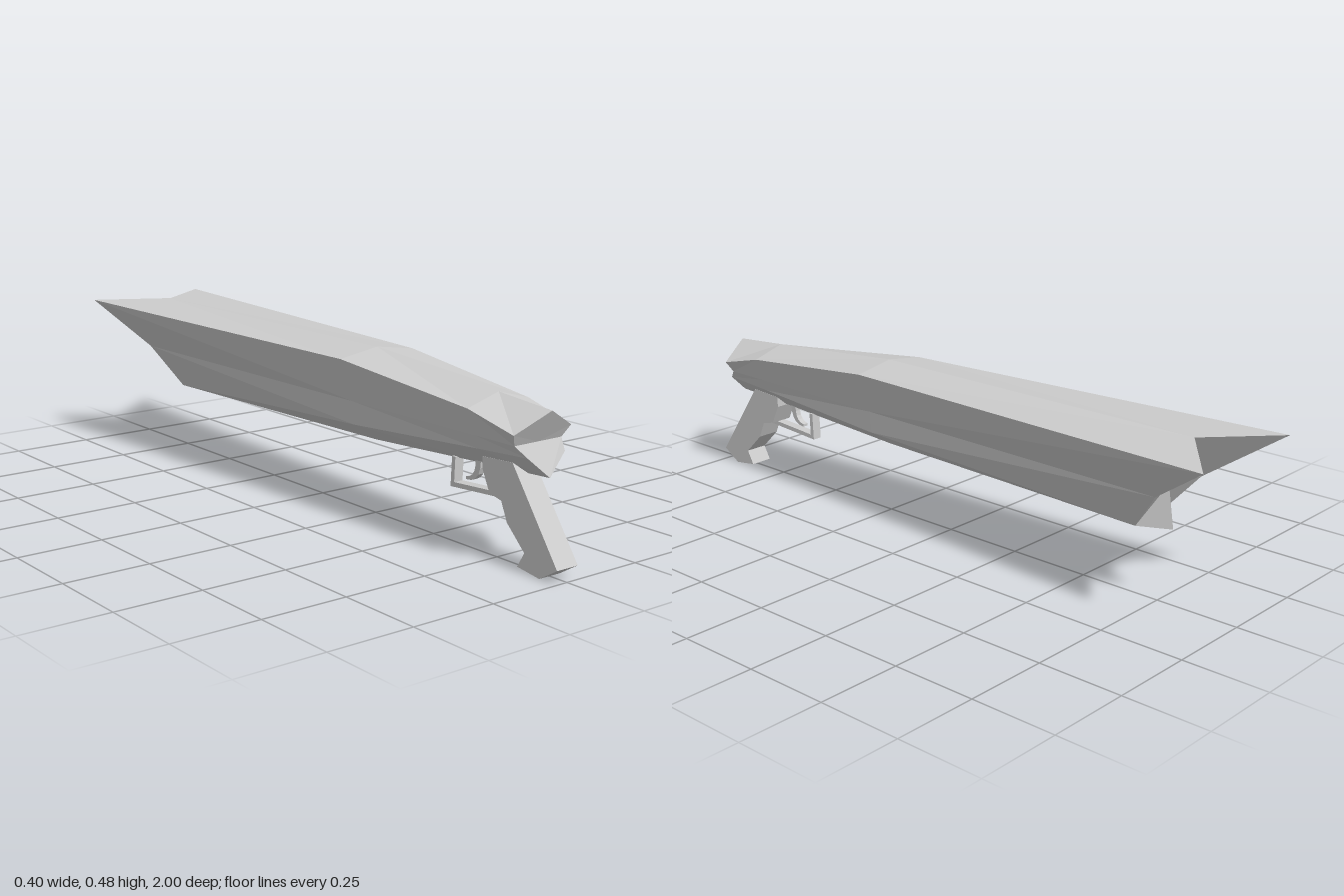
import * as THREE from 'three';

const material = new THREE.MeshStandardMaterial({ color: 0xcccccc, flatShading: true, side: THREE.DoubleSide });

// Half cross-sections from front to back: top ridge, upper edge, waist, chine, keel.
const stations = [
  [[0, 0.425, 0.93], [0.1, 0.37, 0.9], [0.082, 0.338, 0.885], [0.065, 0.31, 0.915], [0, 0.253, 0.93]],
  [[0, 0.44, 0.74], [0.107, 0.41, 0.74], [0.083, 0.338, 0.74], [0.068, 0.3, 0.74], [0, 0.243, 0.74]],
  [[0, 0.482, 0.25], [0.13, 0.462, 0.25], [0.088, 0.338, 0.25], [0.081, 0.27, 0.25], [0, 0.215, 0.25]],
  [[0, 0.482, -0.84], [0.2, 0.475, -1], [0.105, 0.338, -0.8], [0.045, 0.215, -0.7], [0, 0.215, -0.79]],
];
const frontCentre = [0, 0.338, 0.885];
const backCentre = [0, 0.338, -0.77];

function bodyGeometry() {
  const positions = [];
  const flip = ([x, y, z]) => [-x, y, z];
  // Adds a quad and its mirror image.
  const quad = (a, b, c, d) => {
    positions.push(...a, ...b, ...d, ...b, ...c, ...d);
    const [e, f, g, h] = [a, b, c, d].map(flip);
    positions.push(...e, ...h, ...f, ...f, ...h, ...g);
  };
  // Long side panels
  for (let i = 0; i < stations.length - 1; i++) {
    const s = stations[i], t = stations[i + 1];
    for (let j = 0; j < 4; j++) quad(s[j], s[j + 1], t[j + 1], t[j]);
  }
  // Creased end faces
  const [top, edge, waist, chine, keel] = stations[0];
  quad(top, frontCentre, waist, edge);
  quad(frontCentre, keel, chine, waist);
  const [bTop, bEdge, bWaist, bChine, bKeel] = stations[stations.length - 1];
  quad(bEdge, bWaist, backCentre, bTop);
  quad(bWaist, bChine, bKeel, backCentre);

  const geometry = new THREE.BufferGeometry();
  geometry.setAttribute('position', new THREE.Float32BufferAttribute(positions, 3));
  geometry.computeVertexNormals();
  return geometry;
}

// Extrudes a side outline given as z, y across a width in x.
function sidePlate(name, shape, width) {
  const geometry = new THREE.ExtrudeGeometry(shape, { depth: width, bevelEnabled: false, curveSegments: 5 });
  geometry.translate(0, 0, -width / 2).rotateY(-Math.PI / 2);
  const mesh = new THREE.Mesh(geometry, material);
  mesh.name = name;
  return mesh;
}

const outline = (points) => new THREE.Shape(points.map(([z, y]) => new THREE.Vector2(z, y)));

export function createModel() {
  const group = new THREE.Group();
  group.name = 'pistol';

  const body = new THREE.Mesh(bodyGeometry(), material);
  body.name = 'body';
  group.add(body);

  // Slanted grip with a flared foot
  group.add(sidePlate('grip', outline([
    [0.834, 0.278], [1, 0.037], [0.94, 0], [0.861, 0.011], [0.885, 0.053],
    [0.82, 0.117], [0.797, 0.17], [0.753, 0.18], [0.725, 0.24], [0.725, 0.272],
  ]), 0.073));

  // L-shaped guard reaching up into the body
  group.add(sidePlate('triggerGuard', outline([
    [0.8, 0.183], [0.8, 0.17], [0.581, 0.156], [0.585, 0.24], [0.598, 0.24], [0.595, 0.17],
  ]), 0.03));

  // Curved trigger
  const trigger = new THREE.Shape();
  trigger.moveTo(0.69, 0.25);
  trigger.quadraticCurveTo(0.69, 0.185, 0.635, 0.186);
  trigger.lineTo(0.635, 0.194);
  trigger.quadraticCurveTo(0.673, 0.198, 0.67, 0.25);
  group.add(sidePlate('trigger', trigger, 0.018));

  return group;
}
